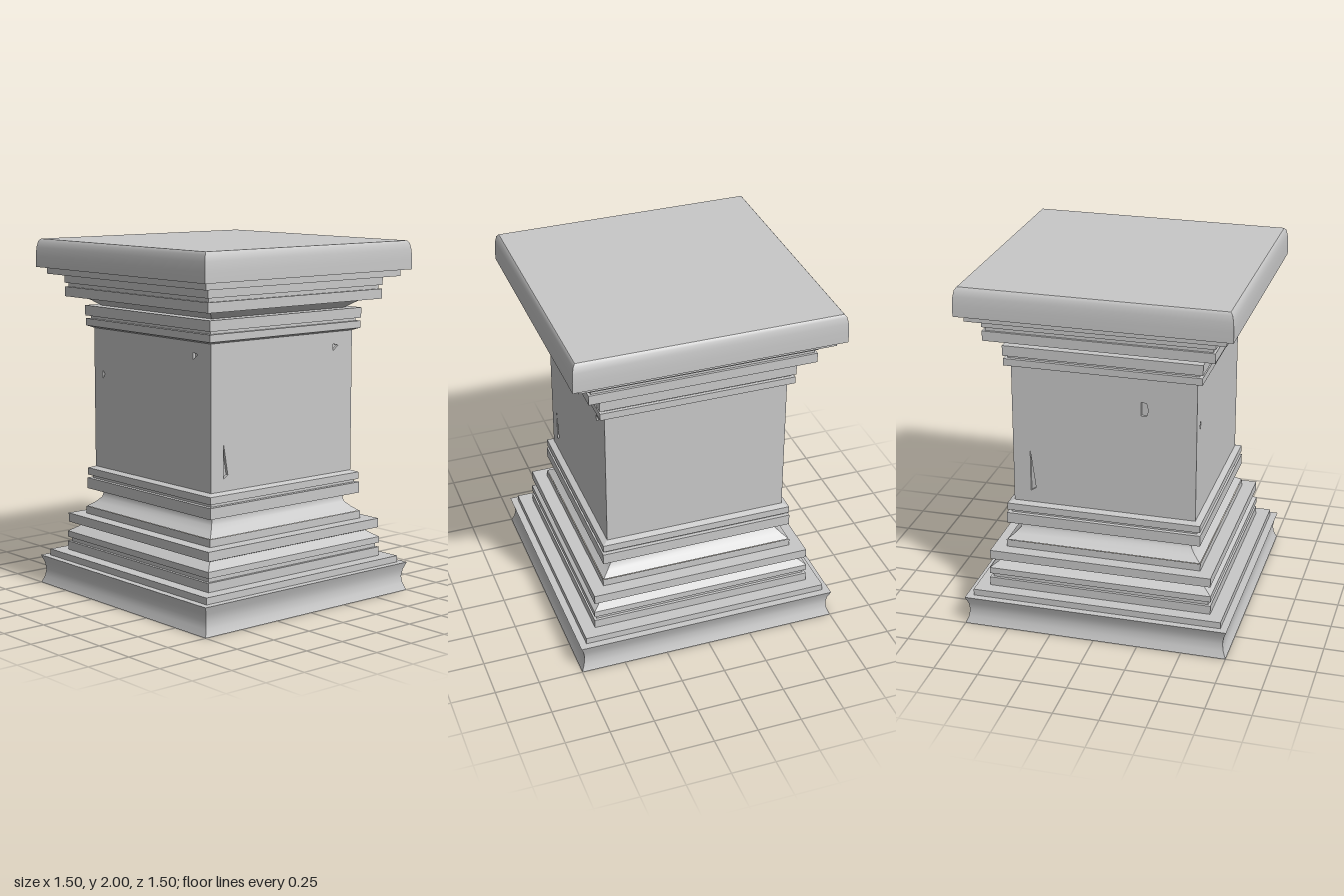
import * as THREE from 'three';
import { mergeGeometries } from 'three/addons/utils/BufferGeometryUtils.js';

const stone = new THREE.MeshStandardMaterial({ color: 0xc8c8c8 });
stone.name = 'stone grey';

// Sweep a [half width, height] profile round a square; normals are smooth along it, sharp at corners
function squareBand(profile) {
  const pos = [], index = [];
  for (const [h, y] of profile) pos.push(-h, y, h, h, y, h);
  for (let i = 0; i < profile.length - 1; i++) {
    const a = i * 2;
    index.push(a, a + 1, a + 3, a, a + 3, a + 2);
  }
  const side = new THREE.BufferGeometry();
  side.setAttribute('position', new THREE.Float32BufferAttribute(pos, 3));
  side.setIndex(index);
  side.computeVertexNormals();
  return mergeGeometries([0, 1, 2, 3].map(k => side.clone().rotateY(k * Math.PI / 2)));
}

// Same sweep with every profile segment faceted
function squareSteps(profile) {
  return mergeGeometries(profile.slice(1).map((p, i) => squareBand([profile[i], p])));
}

export function createModel() {
  const group = new THREE.Group();
  const add = (name, geometry) => {
    const mesh = new THREE.Mesh(geometry, stone);
    mesh.name = name;
    group.add(mesh);
    return mesh;
  };

  // Base, from the ground up
  add('underside', squareBand([[0, 0], [0.75, 0]]));
  add('plinth', squareBand([[0.75, 0], [0.734, 0.04], [0.728, 0.08], [0.734, 0.12], [0.75, 0.163]]));
  add('lowerSteps', squareSteps([
    [0.75, 0.163], [0.71, 0.163], [0.71, 0.2], [0.636, 0.2], [0.636, 0.25], [0.62, 0.25],
    [0.62, 0.275], [0.636, 0.275], [0.636, 0.31],
  ]));
  add('lowerGroove', squareSteps([
    [0.636, 0.31], [0.58, 0.347], [0.62, 0.365], [0.632, 0.365], [0.632, 0.417], [0.558, 0.417], [0.558, 0.46],
  ]));
  add('baseCove', squareBand([[0.555, 0.46], [0.52, 0.487], [0.493, 0.515], [0.487, 0.54], [0.487, 0.565]]));
  add('baseCollar', squareSteps([
    [0.487, 0.565], [0.553, 0.565], [0.553, 0.627], [0.53, 0.627], [0.53, 0.645],
    [0.55, 0.645], [0.55, 0.685], [0.517, 0.697],
  ]));

  // Shaft: a core behind four panels whose holes form shallow chips
  const bottom = 0.69, top = 1.505, half = 0.517, depth = 0.015;
  const chips = {
    front: [
      [[-0.43, 0.955], [-0.4, 0.785], [-0.43, 0.765]],
      [[0.37, 1.43], [0.41, 1.42], [0.37, 1.39]],
    ],
    right: [],
    back: [
      [[-0.42, 1.01], [-0.39, 0.785], [-0.42, 0.765]],
      [[0.21, 1.365], [0.24, 1.36], [0.25, 1.32], [0.24, 1.285], [0.21, 1.285]],
    ],
    left: [
      [[-0.44, 1.265], [-0.42, 1.24], [-0.44, 1.21]],
      [[0.37, 1.44], [0.41, 1.43], [0.37, 1.4]],
    ],
  };
  const core = half - depth;
  add('shaftCore', squareBand([[core, bottom], [core, top]]));
  Object.entries(chips).forEach(([side, holes], k) => {
    const w = k % 2 ? core : half;
    const shape = new THREE.Shape([[-w, bottom], [w, bottom], [w, top], [-w, top]]
      .map(p => new THREE.Vector2(...p)));
    for (const hole of holes) shape.holes.push(new THREE.Path(hole.map(p => new THREE.Vector2(...p))));
    const panel = new THREE.ExtrudeGeometry(shape, { depth, bevelEnabled: false });
    panel.translate(0, 0, core);
    add(side + 'ShaftPanel', panel).rotation.y = k * Math.PI / 2;
  });

  // Capital
  add('capitalCollar', squareSteps([
    [0.517, 1.497], [0.55, 1.51], [0.55, 1.55], [0.53, 1.55], [0.53, 1.567],
    [0.553, 1.567], [0.553, 1.625], [0.487, 1.625],
  ]));
  add('capitalCove', squareBand([[0.487, 1.625], [0.525, 1.652], [0.56, 1.675]]));
  add('upperSteps', squareSteps([
    [0.56, 1.675], [0.634, 1.675], [0.634, 1.73], [0.62, 1.73], [0.62, 1.752],
    [0.636, 1.752], [0.636, 1.802], [0.706, 1.802], [0.706, 1.84], [0.75, 1.84],
  ]));
  add('capSlab', squareBand([[0.75, 1.84], [0.75, 1.9], [0.747, 1.95], [0.74, 1.985], [0.728, 2]]));
  add('capTop', squareBand([[0.728, 2], [0, 2]]));

  return group;
}
